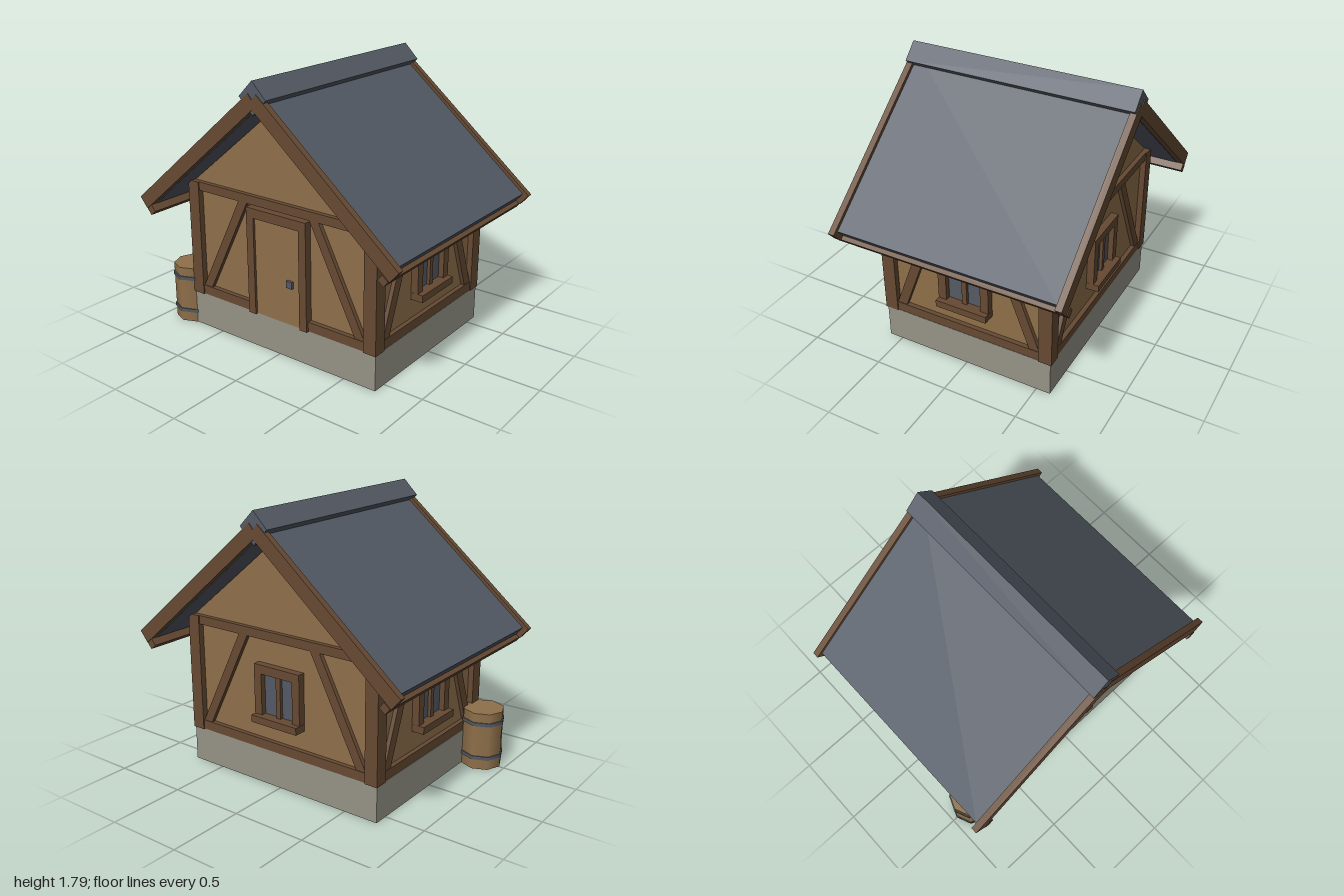
import * as THREE from 'three';

const mat = (name, color) => {
  const m = new THREE.MeshStandardMaterial({ color });
  m.name = name;
  return m;
};

export function createModel() {
  const plaster = mat('warm plank', 0x8f704a);
  const timber = mat('dark timber', 0x664a33);
  const slate = mat('slate', 0x545a65);
  const stone = mat('foundation stone', 0x969487);

  const house = new THREE.Group();
  house.name = 'cottage';

  const add = (parent, name, geo, material) => {
    const m = new THREE.Mesh(geo, material);
    m.name = name;
    parent.add(m);
    return m;
  };
  // Box given by its minimum and maximum on each axis
  const box = (parent, name, material, x0, x1, y0, y1, z0, z1) => {
    const m = add(parent, name, new THREE.BoxGeometry(x1 - x0, y1 - y0, z1 - z0), material);
    m.position.set((x0 + x1) / 2, (y0 + y1) / 2, (z0 + z1) / 2);
    return m;
  };
  // Flat polygon extruded from z0 to z1
  const plate = (parent, name, material, pts, z0, z1) => {
    const shape = new THREE.Shape(pts.map(([x, y]) => new THREE.Vector2(x, y)));
    const geo = new THREE.ExtrudeGeometry(shape, { depth: z1 - z0, bevelEnabled: false });
    geo.translate(0, 0, z0);
    return add(parent, name, geo, material);
  };

  // Foundation, walls and gable
  const SILL = 0.235, TOP = 1.017;
  box(house, 'foundation', stone, -0.732, 0.732, 0, SILL, -0.594, 0.594);
  box(house, 'walls', plaster, -0.7, 0.7, SILL, 1.0, -0.564, 0.564);
  plate(house, 'gable', plaster, [[-0.7, 1.0], [0.7, 1.0], [0.715, 1.012], [0, 1.6], [-0.715, 1.012]], -0.564, 0.564);

  // Corner posts
  for (const sx of [-1, 1]) for (const sz of [-1, 1]) {
    const post = box(house, 'cornerPost', timber, -0.044, 0.044, SILL - 0.003, TOP, -0.045, 0.045);
    post.position.x = sx * 0.694;
    post.position.z = sz * 0.558;
  }

  // Window: frame, mullion, glass and sill on a wall whose posts end at plane p
  const addWindow = (side, p) => {
    const w = new THREE.Group();
    w.name = 'window';
    side.add(w);
    const back = p - 0.05, front = p + 0.01;
    for (const s of [-1, 1]) {
      const jamb = box(w, 'windowJamb', timber, -0.028, 0.028, 0.47, 0.8, back, front);
      jamb.position.x = s * 0.149;
    }
    box(w, 'windowHead', timber, -0.121, 0.121, 0.742, 0.8, back, front);
    box(w, 'windowSill', timber, -0.178, 0.178, 0.425, 0.472, back, p + 0.046);
    box(w, 'mullion', timber, -0.017, 0.017, 0.472, 0.742, back, p - 0.005);
    box(w, 'glass', slate, -0.121, 0.121, 0.472, 0.742, p - 0.034, p - 0.026);
  };

  // Door with its frame and handle
  const addDoor = (side, p) => {
    const d = new THREE.Group();
    d.name = 'door';
    side.add(d);
    for (const s of [-1, 1]) {
      const jamb = box(d, 'doorJamb', timber, -0.028, 0.028, SILL - 0.003, 0.945, p - 0.05, p + 0.01);
      jamb.position.x = s * 0.206;
    }
    box(d, 'doorHead', timber, -0.178, 0.178, 0.882, 0.945, p - 0.05, p + 0.01);
    box(d, 'doorPanel', plaster, -0.178, 0.178, SILL, 0.882, p - 0.05, p - 0.006);
    box(d, 'doorHandle', slate, 0.08, 0.125, 0.49, 0.535, p - 0.01, p + 0.012);
  };

  // Half-timbering of each wall: u = inner edge of posts, t = outer brace edge at the top
  const sides = [
    { name: 'frontWall', turn: 0, u: 0.65, t: 0.315, p: 0.603, fill: addDoor },
    { name: 'leftWall', turn: Math.PI / 2, u: 0.513, t: 0.262, p: 0.738, fill: addWindow },
    { name: 'backWall', turn: Math.PI, u: 0.65, t: 0.315, p: 0.603, fill: addWindow },
    { name: 'rightWall', turn: -Math.PI / 2, u: 0.513, t: 0.262, p: 0.738, fill: addWindow },
  ];
  for (const { name, turn, u, t, p, fill } of sides) {
    const side = new THREE.Group();
    side.name = name;
    side.rotation.y = turn;
    house.add(side);
    box(side, 'bottomRail', timber, -u, u, SILL, 0.297, p - 0.05, p - 0.008);
    box(side, 'topRail', timber, -u, u, 0.96, TOP, p - 0.05, p - 0.008);
    const w = 0.069;
    plate(side, 'brace', timber, [[u - w, 0.297], [u, 0.297], [t, 0.96], [t - w, 0.96]], p - 0.05, p - 0.012);
    plate(side, 'brace', timber, [[-u, 0.297], [w - u, 0.297], [w - t, 0.96], [-t, 0.96]], p - 0.05, p - 0.012);
    fill(side, p);
  }

  // Roof halves: each part is a box lying along the 40 degree slope
  const A = THREE.MathUtils.degToRad(40), C = Math.cos(A), S = Math.sin(A);
  // (x, y) is the outer upper corner, len runs up the slope, thick goes down into it
  const sloped = (name, material, s, x, y, len, thick, z0, z1) => {
    const m = add(house, name, new THREE.BoxGeometry(len, thick, z1 - z0), material);
    m.position.set(s * (x - C * len / 2 - S * thick / 2), y + S * len / 2 - C * thick / 2, (z0 + z1) / 2);
    m.rotation.z = -s * A;
  };
  for (const s of [-1, 1]) {
    sloped('roofSlab', slate, s, 0.96, 0.903, 1.25, 0.073, -0.741, 0.741);
    sloped('bargeboard', timber, s, 1.0, 0.897, 1.266, 0.09, 0.741, 0.783);
    sloped('bargeboard', timber, s, 1.0, 0.897, 1.266, 0.09, -0.783, -0.741);
    sloped('eavesTrim', timber, s, 0.936, 0.83, 0.05, 0.05, -0.786, 0.786);
  }

  // Ridge cap, a square beam set on its corner
  const ridge = add(house, 'ridgeCap', new THREE.BoxGeometry(0.142, 0.142, 1.558), slate);
  ridge.position.y = 1.685;
  ridge.rotation.z = Math.PI / 4;

  // Barrel standing against the wall
  const barrel = new THREE.Group();
  barrel.name = 'barrel';
  barrel.position.set(-0.83, 0, 0.505);
  house.add(barrel);
  add(barrel, 'barrelBody', new THREE.CylinderGeometry(0.135, 0.135, 0.39, 8), plaster).position.y = 0.195;
  for (const y of [0.08, 0.316]) {
    add(barrel, 'barrelHoop', new THREE.CylinderGeometry(0.142, 0.142, 0.024, 8), slate).position.y = y;
  }

  return house;
}
